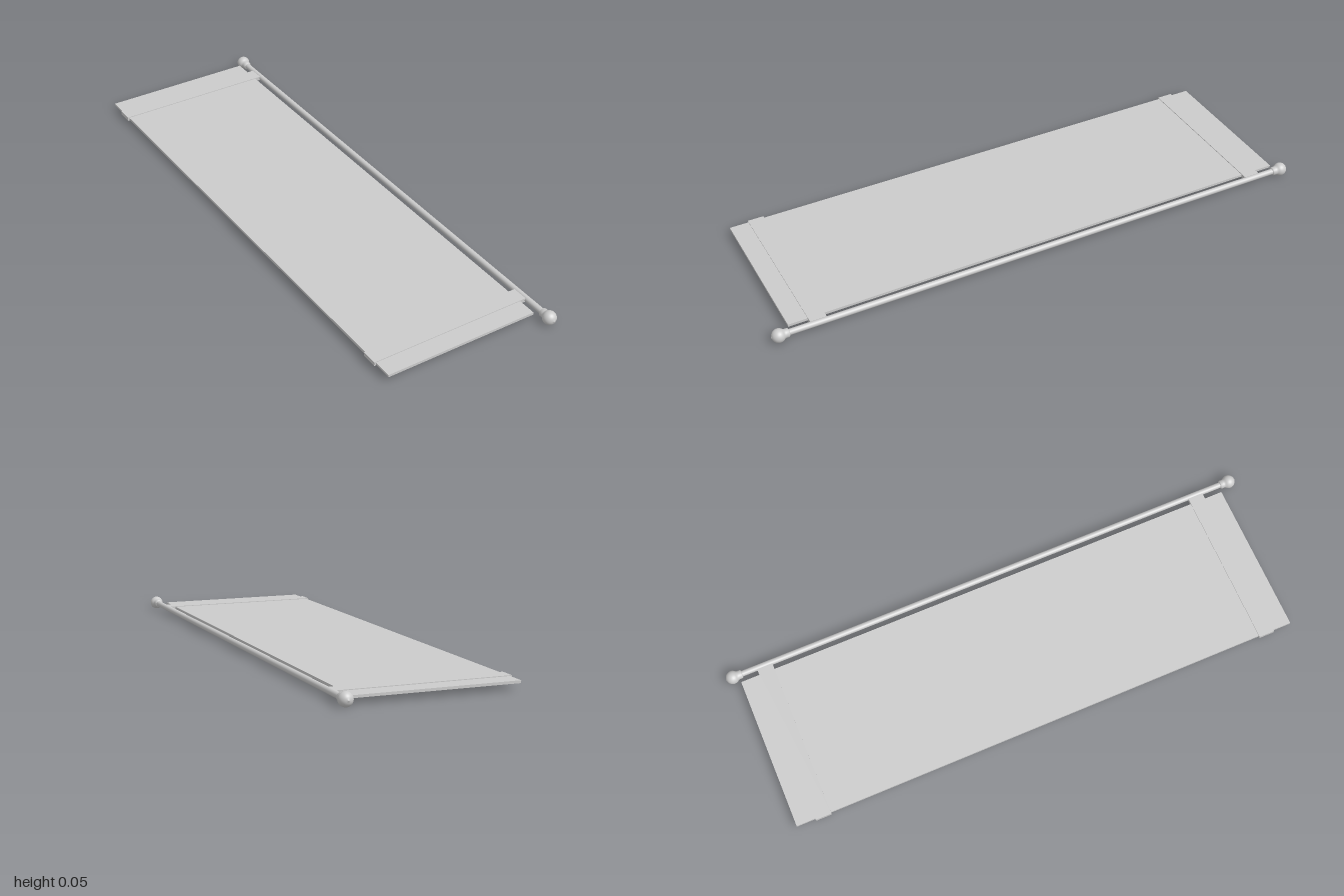
import * as THREE from 'three';

export function createModel() {
  const group = new THREE.Group();
  const material = new THREE.MeshStandardMaterial({ color: 0xcccccc });
  const rodX = 0.288, midY = 0.024;

  function add(name, geometry, x, y, z) {
    const mesh = new THREE.Mesh(geometry, material);
    mesh.name = name;
    mesh.position.set(x, y, z);
    group.add(mesh);
    return mesh;
  }
  // Box given by its limits on each axis
  function slab(name, x0, x1, y0, y1, z0, z1) {
    add(name, new THREE.BoxGeometry(x1 - x0, y1 - y0, z1 - z0),
      (x0 + x1) / 2, (y0 + y1) / 2, (z0 + z1) / 2);
  }

  // Flat panel and the two straps that wrap it and reach the rod
  slab('panel', -0.306, 0.258, 0.0195, 0.0285, -0.952, 0.931);
  slab('backStrap', -0.312, 0.283, 0.017, 0.031, -0.884, -0.827);
  slab('frontStrap', -0.312, 0.283, 0.017, 0.031, 0.806, 0.863);

  // Rod along the panel's side
  const rod = add('rod', new THREE.CylinderGeometry(0.0105, 0.0105, 1.91, 24), rodX, midY, 0);
  rod.rotation.x = Math.PI / 2;

  // Ball finials: collar, ball and a slight tip, turned about the rod's axis
  const r = 0.024, centre = 0.974;
  const profile = [[0.0105, 0.938], [0.0155, 0.941], [0.0155, 0.952]]
    .map(([x, y]) => new THREE.Vector2(x, y));
  for (let i = 0; i <= 12; i++) {
    const a = THREE.MathUtils.lerp(-0.8, 1.4, i / 12);
    profile.push(new THREE.Vector2(r * Math.cos(a), centre + r * Math.sin(a)));
  }
  profile.push(new THREE.Vector2(0, 1));
  for (const side of [1, -1]) {
    const finial = add(side > 0 ? 'frontFinial' : 'backFinial',
      new THREE.LatheGeometry(profile, 32), rodX, midY, 0);
    finial.rotation.x = side * Math.PI / 2;
  }
  return group;
}
